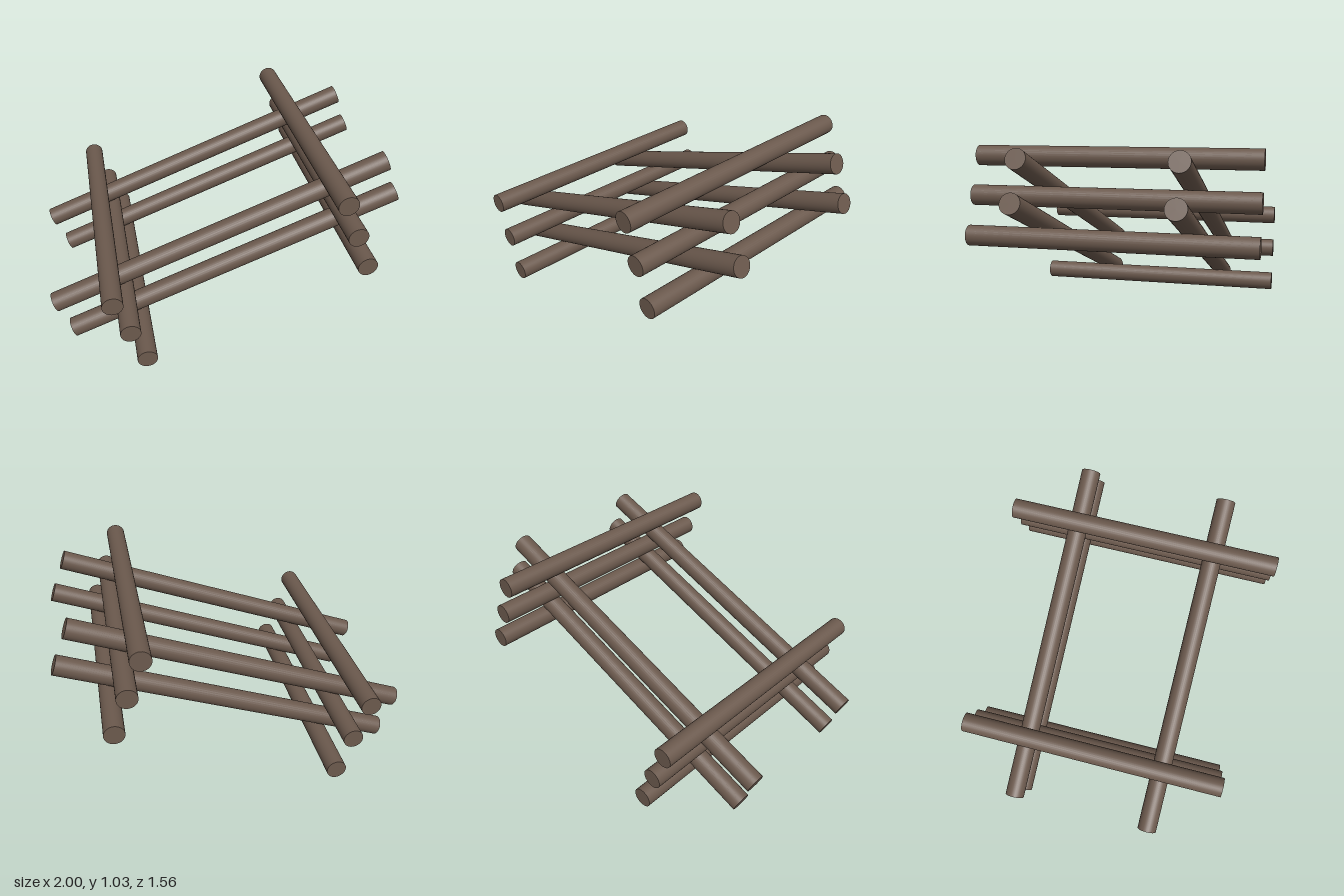
import * as THREE from 'three';

const RADIUS = 0.056;

export function createModel() {
  const model = new THREE.Group();
  model.name = 'logStack';
  const bark = new THREE.MeshStandardMaterial({ color: 0x6b594d });
  bark.name = 'brown bark';

  // A round log with flat ends between two points
  function addLog(name, from, to) {
    const a = new THREE.Vector3(...from);
    const b = new THREE.Vector3(...to);
    const log = new THREE.Mesh(new THREE.CylinderGeometry(RADIUS, RADIUS, a.distanceTo(b), 32), bark);
    log.name = name;
    log.position.copy(a).add(b).multiplyScalar(0.5);
    log.quaternion.setFromUnitVectors(new THREE.Vector3(0, 1, 0), b.sub(a).normalize());
    model.add(log);
  }

  // Two sloping layers of long logs, one pair per layer
  const slopes = [
    { name: 'lower', from: [-0.899, 0.053], to: [0.98, 0.765] },
    { name: 'upper', from: [-0.98, 0.266], to: [0.899, 0.978] },
  ];
  for (const { name, from, to } of slopes) {
    for (const [side, z] of [['Front', 0.417], ['Back', -0.408]]) {
      addLog(`${name}LongLog${side}`, [...from, z], [...to, z]);
    }
  }

  // Three cross logs below, between and above the long logs at each end
  const ends = [['right', -0.508, 0.088], ['left', 0.709, 0.547]];
  for (const [side, x0, y0] of ends) {
    for (let i = 0; i < 3; i++) {
      const x = x0 - i * 0.0795;
      const y = y0 + i * 0.2115;
      addLog(`${side}CrossLog${i + 1}`, [x, y, 0.78], [x, y, -0.78]);
    }
  }

  return model;
}
